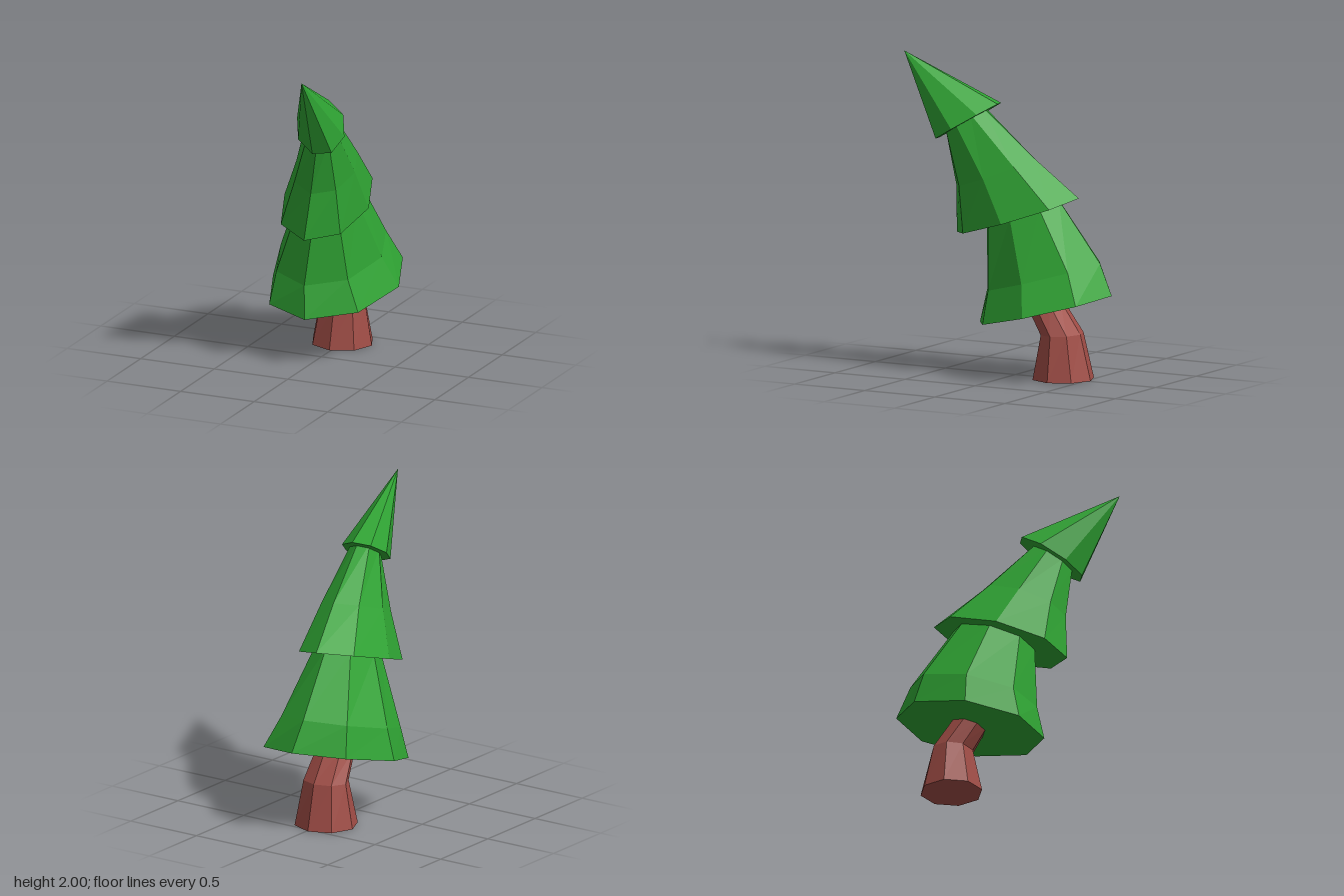
import * as THREE from 'three';

const SIDES = 8;

// An eight-sided ring: centre c, sideways radius u (+x) and forward radius v (+z)
function ring([c, u, v]) {
  const C = new THREE.Vector3(...c), U = new THREE.Vector3(...u), V = new THREE.Vector3(...v);
  return Array.from({ length: SIDES }, (_, i) => {
    const a = (i / SIDES) * Math.PI * 2;
    return C.clone().addScaledVector(U, Math.cos(a)).addScaledVector(V, Math.sin(a));
  });
}

// Skins a stack of rings from bottom to top and caps both ends (or closes to a tip)
function loft(name, color, sections, tip) {
  const pos = [];
  const tri = (...pts) => pts.forEach((p) => pos.push(p.x, p.y, p.z));
  const rings = sections.map(ring);
  const last = rings[rings.length - 1];
  const base = new THREE.Vector3(...sections[0][0]);
  const top = new THREE.Vector3(...(tip || sections[sections.length - 1][0]));
  for (let i = 0; i < SIDES; i++) {
    const j = (i + 1) % SIDES;
    tri(base, rings[0][i], rings[0][j]);
    for (let k = 0; k + 1 < rings.length; k++) {
      const a = rings[k], b = rings[k + 1];
      tri(a[i], b[i], a[j]);
      tri(a[j], b[i], b[j]);
    }
    tri(last[j], last[i], top);
  }
  const geo = new THREE.BufferGeometry();
  geo.setAttribute('position', new THREE.Float32BufferAttribute(pos, 3));
  geo.computeVertexNormals();
  const mesh = new THREE.Mesh(geo, new THREE.MeshStandardMaterial({ color, flatShading: true }));
  mesh.name = name;
  return mesh;
}

export function createModel() {
  const GREEN = 0x2fa333, BROWN = 0xa04d46;
  const tree = new THREE.Group();
  tree.name = 'leaningTree';
  tree.add(
    // Trunk: upright foot, then bending forward into the foliage
    loft('trunk', BROWN, [
      [[-0.01, 0, -0.335], [0.2, 0, 0], [0, 0, 0.195]],
      [[-0.005, 0.282, -0.33], [0.15, 0, 0], [0, -0.004, 0.13]],
      [[0, 0.46, -0.215], [0.125, 0, 0], [0, -0.03, 0.105]],
    ]),
    // Widest tier, flaring at the hem
    loft('lowerFoliage', GREEN, [
      [[0, 0.43, -0.217], [0.4, -0.003, -0.06], [0, -0.117, 0.47]],
      [[-0.02, 0.63, -0.19], [0.33, -0.005, -0.03], [0, -0.11, 0.402]],
      [[0.02, 1.03, -0.065], [0.19, -0.02, -0.015], [0.01, -0.09, 0.25]],
    ]),
    // Middle tier
    loft('middleFoliage', GREEN, [
      [[0.022, 1.005, -0.03], [0.27, -0.02, -0.035], [0.035, -0.132, 0.415]],
      [[0.075, 1.275, 0.1], [0.19, -0.02, -0.02], [0.02, -0.1, 0.267]],
      [[0.13, 1.6, 0.285], [0.105, -0.02, 0.01], [0.02, -0.08, 0.11]],
    ]),
    // Pointed top, tipping furthest forward
    loft('topFoliage', GREEN, [
      [[0.118, 1.585, 0.268], [0.172, -0.032, 0.025], [0.03, -0.115, 0.19]],
    ], [0.18, 2, 0.69]),
  );
  return tree;
}
